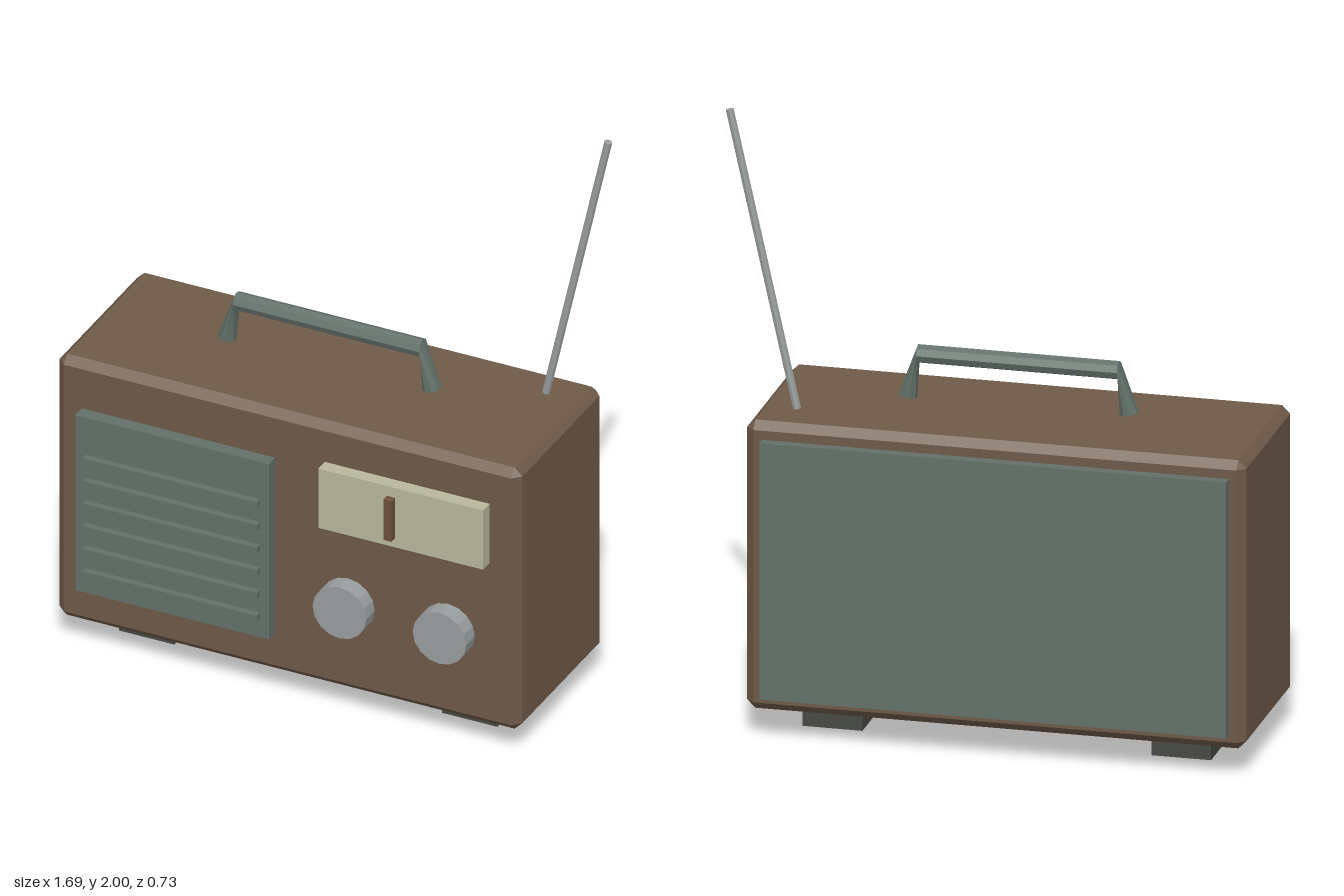
import * as THREE from 'three';
import { ConvexGeometry } from 'three/addons/geometries/ConvexGeometry.js';

const paint = (name, color) => {
  const m = new THREE.MeshStandardMaterial({ color });
  m.name = name;
  m.flatShading = true;
  return m;
};

export function createModel() {
  const brown = paint('brown case', 0x6f5a48);
  const green = paint('grey green', 0x63716a);
  const cream = paint('cream dial', 0xb9b89e);
  const metal = paint('grey metal', 0x999e9e);
  const dark = paint('dark rubber', 0x454842);
  const rust = paint('needle brown', 0x70503c);

  const radio = new THREE.Group();
  radio.name = 'radio';
  const add = (name, geometry, material) => {
    const mesh = new THREE.Mesh(geometry, material);
    mesh.name = name;
    radio.add(mesh);
    return mesh;
  };
  // Box given by its limits on each axis
  const box = (name, [x0, x1], [y0, y1], [z0, z1], material) =>
    add(name, new THREE.BoxGeometry(x1 - x0, y1 - y0, z1 - z0), material)
      .position.set((x0 + x1) / 2, (y0 + y1) / 2, (z0 + z1) / 2);

  // Case with every edge chamfered
  const half = [0.795, 0.47, 0.295], bevel = 0.026, corners = [];
  for (const sx of [-1, 1]) for (const sy of [-1, 1]) for (const sz of [-1, 1])
    for (let axis = 0; axis < 3; axis++) {
      const p = half.map((h, i) => (i === axis ? h : h - bevel));
      corners.push(new THREE.Vector3(sx * p[0], sy * p[1], sz * p[2]));
    }
  add('case', new ConvexGeometry(corners), brown).position.set(-0.05, 0.56, -0.029);

  // Back panel and feet
  box('backPanel', [-0.795, 0.69], [0.14, 0.975], [-0.36, -0.325], green);
  box('rightFoot', [-0.7, -0.51], [0, 0.085], [-0.175, 0.12], dark);
  box('leftFoot', [0.41, 0.6], [0, 0.085], [-0.175, 0.12], dark);

  // Speaker grille with raised bars
  box('grille', [-0.755, -0.09], [0.235, 0.865], [0.268, 0.313], green);
  for (let i = 0; i < 6; i++) {
    const y = 0.313 + i * 0.0815;
    box('grilleBar', [-0.72, -0.12], [y - 0.011, y + 0.011], [0.313, 0.336], green);
  }

  // Tuning dial and needle
  box('dial', [0.08, 0.647], [0.682, 0.895], [0.268, 0.313], cream);
  box('needle', [0.316, 0.344], [0.715, 0.86], [0.313, 0.338], rust);

  // Knobs
  for (const x of [0.178, 0.522]) {
    const knob = add('knob', new THREE.CylinderGeometry(0.092, 0.092, 0.06, 16), metal);
    knob.rotation.x = Math.PI / 2;
    knob.position.set(x, 0.43, 0.335);
  }

  // Carrying handle: eight-sided rings along a bent path, legs slightly twisted
  const rings = [
    { x: -0.402, y: 1.057, tilt: 1.36, twist: -1 },
    { x: -0.37, y: 1.195, tilt: 0, twist: 0 },
    { x: 0.27, y: 1.195, tilt: 0, twist: 0 },
    { x: 0.302, y: 1.057, tilt: -1.36, twist: 1 },
  ];
  const sides = 8, positions = [], index = [];
  for (const r of rings)
    for (let i = 0; i < sides; i++) {
      const a = ((i + r.twist * 0.5) / sides) * Math.PI * 2;
      const up = 0.03 * Math.cos(a);
      positions.push(r.x - up * Math.sin(r.tilt), r.y + up * Math.cos(r.tilt), -0.03 + 0.03 * Math.sin(a));
    }
  for (let k = 0; k < 3; k++)
    for (let i = 0; i < sides; i++) {
      const a = k * sides + i, b = k * sides + (i + 1) % sides;
      index.push(a, b, a + sides, b, b + sides, a + sides);
    }
  for (let i = 1; i < sides - 1; i++) {
    const e = 3 * sides;
    index.push(0, i + 1, i, e, e + i, e + i + 1);
  }
  const handle = new THREE.BufferGeometry();
  handle.setAttribute('position', new THREE.Float32BufferAttribute(positions, 3));
  handle.setIndex(index);
  handle.computeVertexNormals();
  add('handle', handle, green);

  // Leaning antenna
  const foot = new THREE.Vector3(0.614, 1.04, -0.192);
  const tip = new THREE.Vector3(0.828, 1.997, -0.192);
  const rod = tip.clone().sub(foot);
  const antenna = add('antenna', new THREE.CylinderGeometry(0.013, 0.013, rod.length(), 8), metal);
  antenna.position.copy(foot).add(tip).multiplyScalar(0.5);
  antenna.quaternion.setFromUnitVectors(new THREE.Vector3(0, 1, 0), rod.normalize());

  return radio;
}
